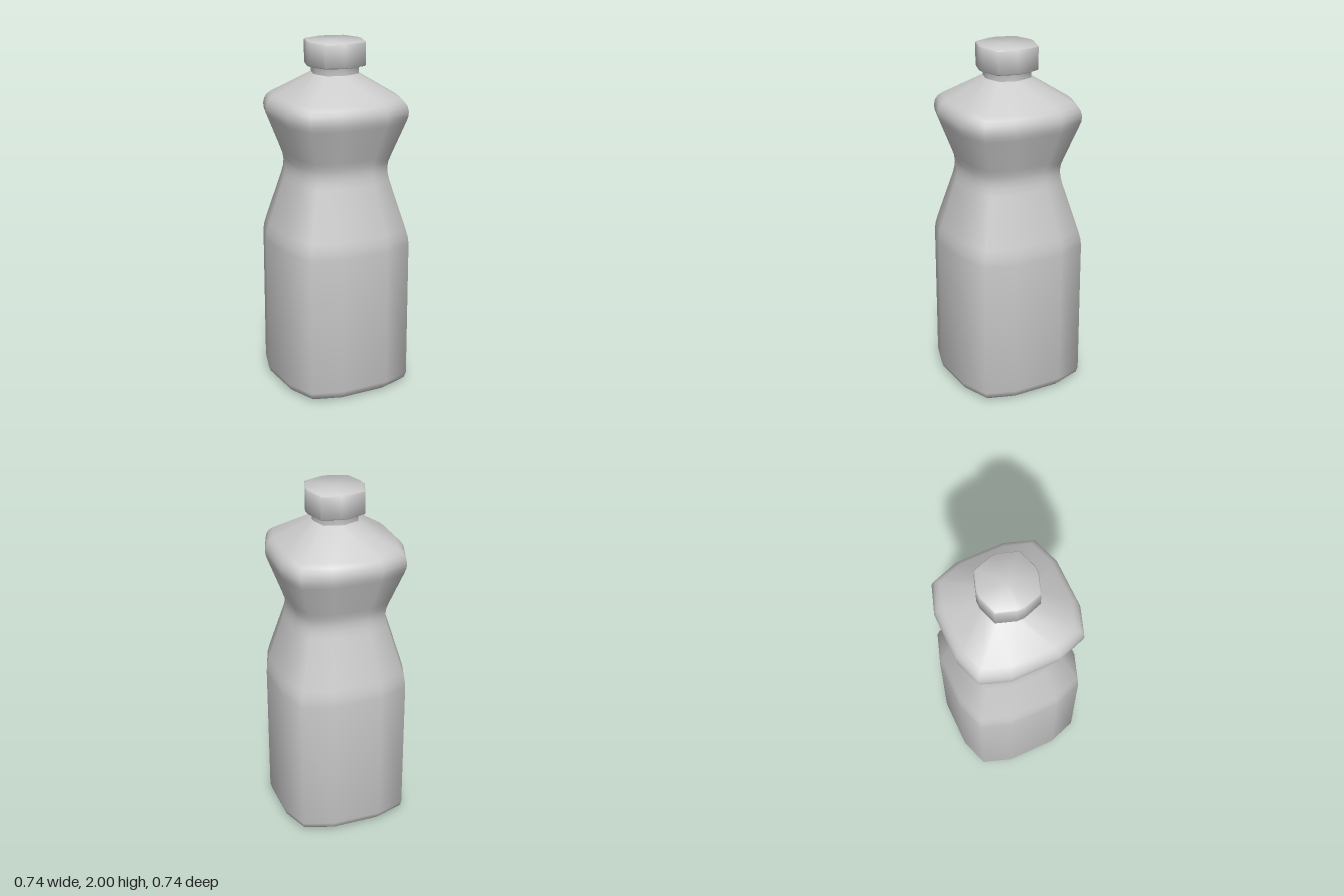
import * as THREE from 'three';
import { toCreasedNormals } from 'three/addons/utils/BufferGeometryUtils.js';

// Twelve-sided cross-sections for half-width 1: [edge offset, corner position]
const SQUARISH = [0.39, 0.845];
const ROUNDISH = [0.125, 0.78];

// One ring of 12 points, going from +x towards +z
function ring(y, w, [edge, corner]) {
  const quarter = [[1, edge], [corner, corner], [edge, 1]];
  const points = [];
  for (let q = 0; q < 4; q++) {
    for (let [x, z] of quarter) {
      for (let k = 0; k < q; k++) [x, z] = [-z, x];
      points.push(x * w, y, z * w);
    }
  }
  return points;
}

// Skin through a stack of [y, half-width] levels
function loft(name, levels, sectionAt, crease) {
  const positions = [], index = [], n = 12;
  levels.forEach(([y, w]) => positions.push(...ring(y, w, sectionAt(y))));
  for (let i = 0; i < levels.length - 1; i++) {
    for (let j = 0; j < n; j++) {
      const a = i * n + j, b = i * n + (j + 1) % n;
      if (levels[i + 1][1] > 0) index.push(a, a + n, b + n);
      if (levels[i][1] > 0) index.push(a, b + n, b);
    }
  }
  const geometry = new THREE.BufferGeometry();
  geometry.setAttribute('position', new THREE.Float32BufferAttribute(positions, 3));
  geometry.setIndex(index);
  const material = new THREE.MeshStandardMaterial({ color: 0xcccccc, side: THREE.DoubleSide });
  const mesh = new THREE.Mesh(toCreasedNormals(geometry, crease), material);
  mesh.name = name;
  return mesh;
}

export function createModel() {
  const group = new THREE.Group();
  group.name = 'bottle';

  // Body: square base, pinched waist, flared shoulder that rounds off to the neck
  const body = [
    [0, 0], [0, 0.315], [0.008, 0.342], [0.025, 0.36], [0.055, 0.369],
    [0.85, 0.369], [0.89, 0.366], [0.94, 0.354],
    [1.22, 0.271], [1.26, 0.262], [1.295, 0.259], [1.33, 0.263], [1.37, 0.276],
    [1.56, 0.345], [1.59, 0.355], [1.62, 0.358], [1.65, 0.352], [1.675, 0.338], [1.695, 0.315],
    [1.82, 0.125],
  ];
  const bodySection = (y) => {
    const t = THREE.MathUtils.clamp((y - 1.695) / 0.125, 0, 1);
    return SQUARISH.map((s, i) => THREE.MathUtils.lerp(s, ROUNDISH[i], t));
  };
  group.add(loft('body', body, bodySection, 1.15));

  // Neck
  const neck = [[1.815, 0.127], [1.85, 0.127], [1.865, 0.132]];
  group.add(loft('neck', neck, () => ROUNDISH, 1));

  // Cap with slightly softened rims
  const cap = [
    [1.862, 0], [1.862, 0.158], [1.867, 0.163],
    [1.993, 0.163], [2, 0.157], [2, 0],
  ];
  group.add(loft('cap', cap, () => ROUNDISH, 1));

  return group;
}
